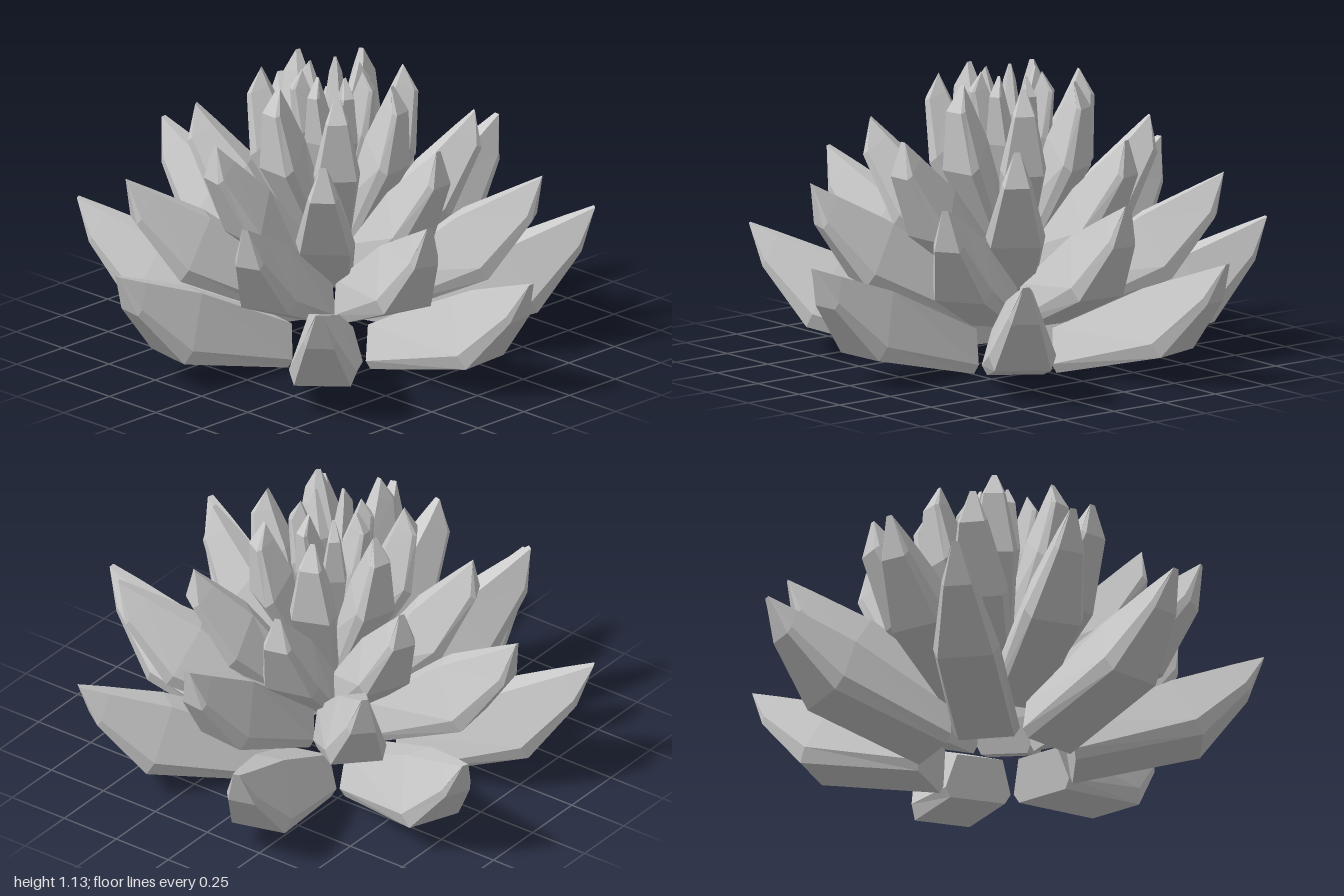
import * as THREE from 'three';

const PETALS = 7;

// Points are [distance from the axis, height]; turn is in degrees
const RINGS = [
  { name: 'outerPetals', turn: 87, width: 0.13, base: [0.29, 0], belly: [0.78, 0.12], shoulder: [0.96, 0.34], ridge: [0.66, 0.37], tip: [1.02, 0.5] },
  { name: 'lowerMiddlePetals', turn: 57, width: 0.12, base: [0.22, 0.17], belly: [0.63, 0.35], shoulder: [0.79, 0.58], ridge: [0.5, 0.58], tip: [0.82, 0.75] },
  { name: 'upperMiddlePetals', turn: 88, width: 0.115, base: [0.18, 0.3], belly: [0.44, 0.53], shoulder: [0.57, 0.79], ridge: [0.33, 0.72], tip: [0.55, 0.93] },
  { name: 'innerPetals', turn: 81, width: 0.09, base: [0.13, 0.46], belly: [0.31, 0.78], shoulder: [0.33, 1.02], ridge: [0.18, 0.9], tip: [0.28, 1.12] },
  { name: 'heartPetals', turn: 62, width: 0.05, base: [0.07, 0.6], belly: [0.15, 0.87], shoulder: [0.165, 1.06], ridge: [0.05, 0.95], tip: [0.12, 1.135] },
];

const mix = (a, b, k) => a.map((v, i) => v + (b[i] - v) * k);

// Solid faceted petal pointing along +x: flat underside, leaning sides, narrow top
function petalGeometry({ width, base, belly, shoulder, ridge, tip }) {
  // Cross-sections: underside point, top point, half width, half width of the top
  const sections = [
    [base, [base[0] - 0.03, base[1] + 0.17], Math.min(width, base[0] * 0.48), width * 0.7],
    [belly, ridge, width, width * 0.45],
    [shoulder, mix(ridge, tip, 0.68), width * 0.5, width * 0.24],
    [mix(tip, shoulder, 0.06), tip, width * 0.12, width * 0.1],
  ];
  const n = 6;
  const positions = [];
  const index = [];
  for (const [under, top, w, t] of sections) {
    const side = mix(under, top, 0.22);
    positions.push(
      ...under, -w * 0.84, ...side, -w, ...top, -t,
      ...top, t, ...side, w, ...under, w * 0.84);
  }
  const last = (sections.length - 1) * n;
  for (let start = 0; start < last; start += n) {
    for (let j = 0; j < n; j++) {
      const a = start + j;
      const b = start + ((j + 1) % n);
      index.push(a, b, b + n, a, b + n, a + n);
    }
  }
  // End caps
  for (let j = 1; j < n - 1; j++) {
    index.push(0, j + 1, j, last, last + j, last + j + 1);
  }
  const indexed = new THREE.BufferGeometry();
  indexed.setAttribute('position', new THREE.Float32BufferAttribute(positions, 3));
  indexed.setIndex(index);
  const geometry = indexed.toNonIndexed();
  geometry.computeVertexNormals();
  return geometry;
}

export function createModel() {
  const model = new THREE.Group();
  model.name = 'lotusFlower';
  const material = new THREE.MeshStandardMaterial({ color: 0xcccccc, flatShading: true });

  // Five stacked rings of petals, each steeper than the one below
  for (const shape of RINGS) {
    const ring = new THREE.Group();
    ring.name = shape.name;
    ring.position.set(0.01, 0, -0.04);
    const geometry = petalGeometry(shape);
    for (let i = 0; i < PETALS; i++) {
      const petal = new THREE.Mesh(geometry, material);
      petal.name = 'petal';
      petal.rotation.y = -THREE.MathUtils.degToRad(shape.turn + (i * 360) / PETALS);
      ring.add(petal);
    }
    model.add(ring);
  }
  return model;
}
